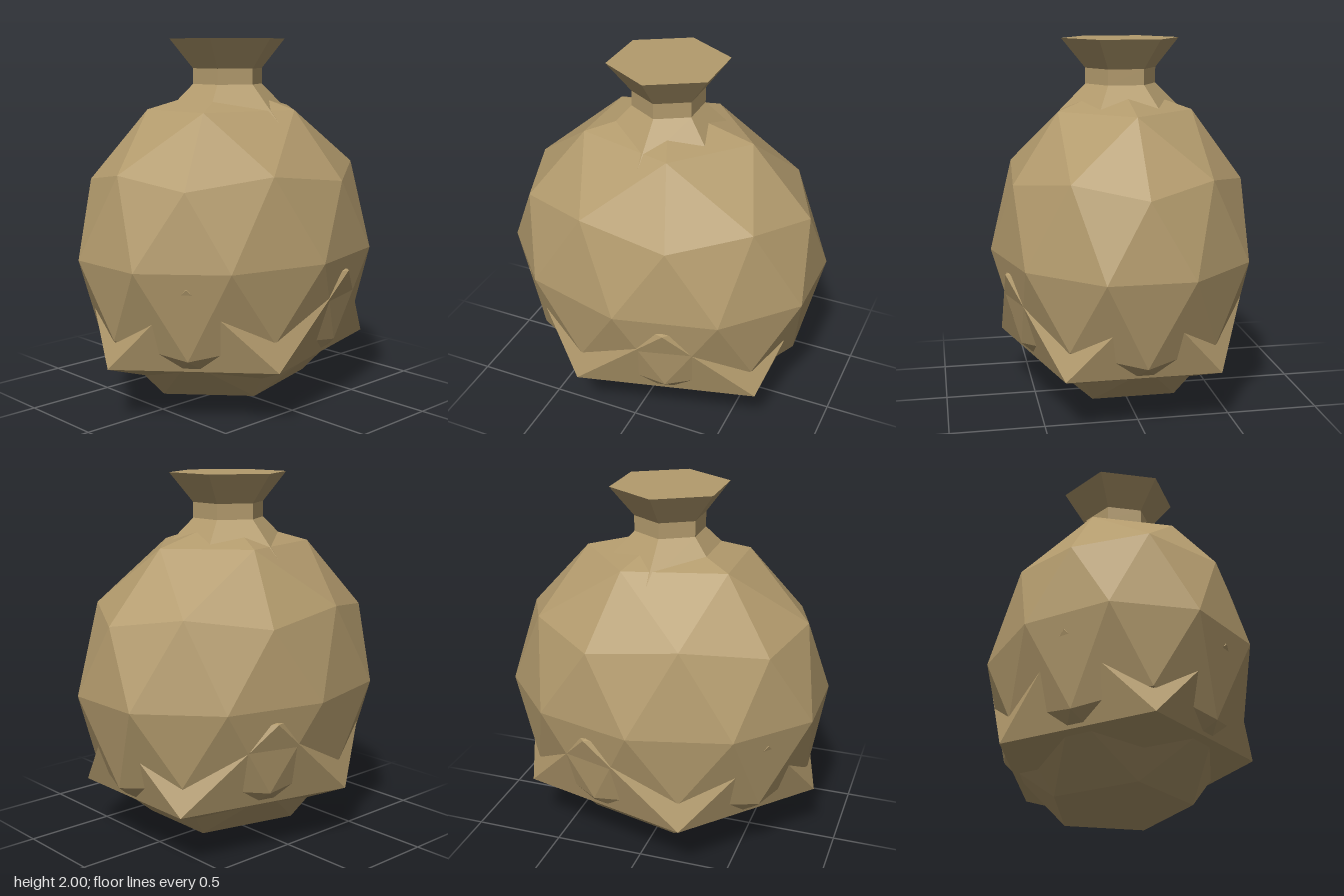
import * as THREE from 'three';
import { ConvexGeometry } from 'three/addons/geometries/ConvexGeometry.js';

// Ring of points around the vertical axis; start and count set the azimuths.
function ring(y, r, rx, rz, start, count) {
  const points = [];
  for (let i = 0; i < count; i++) {
    const a = THREE.MathUtils.degToRad(start + (i * 360) / count);
    points.push(new THREE.Vector3(r * rx * Math.cos(a), y, r * rz * Math.sin(a)));
  }
  return points;
}

export function createModel() {
  const group = new THREE.Group();
  const burlap = new THREE.MeshStandardMaterial({ color: 0xb39b6d, flatShading: true });
  burlap.name = 'burlap';

  const add = (name, geometry, y = 0) => {
    const mesh = new THREE.Mesh(geometry, burlap);
    mesh.name = name;
    mesh.position.set(-0.01, y, 0);
    group.add(mesh);
  };

  // Faceted sack: a once-divided icosahedron, stretched, with blunted poles
  const rx = 0.91, rz = 0.73;
  const sack = [
    new THREE.Vector3(0, 1.75, 0),
    ...ring(1.62, 0.526, rx, rz, 0, 5),
    ...ring(1.31, 0.851, rx, rz, 36, 5),
    ...ring(1.25, 0.894, rx, rz, 0, 5),
    ...ring(0.85, 1, rx, rz, 18, 10),
    ...ring(0.45, 0.894, rx, rz, 36, 5),
    ...ring(0.377, 0.851, rx, rz, 0, 5),
    ...ring(0.085, 0.526, rx, rz, 36, 5),
    new THREE.Vector3(0, 0, 0),
  ];
  add('sackBody', new ConvexGeometry(sack));

  // Sagging bottom: a squat icosahedron whose corners poke through the sack
  const sag = [
    new THREE.Vector3(0, 1.0, 0),
    ...ring(0.77, 0.894, 0.94, 0.79, 0, 5),
    ...ring(0.305, 0.894, 0.96, 0.78, 36, 5),
    new THREE.Vector3(0, 0.01, 0),
  ];
  add('saggingBottom', new ConvexGeometry(sag));

  // Six-sided gathered neck: skirt, tie and flared mouth
  const neck = [
    ['gatheredSkirt', 0.195, 0.39, 1.56, 1.755],
    ['neckTie', 0.195, 0.195, 1.755, 1.84],
    ['flaredMouth', 0.325, 0.195, 1.84, 2],
  ];
  for (const [name, top, bottom, y0, y1] of neck) {
    add(name, new THREE.CylinderGeometry(top, bottom, y1 - y0, 6, 1, name !== 'flaredMouth'), (y0 + y1) / 2);
  }
  return group;
}
